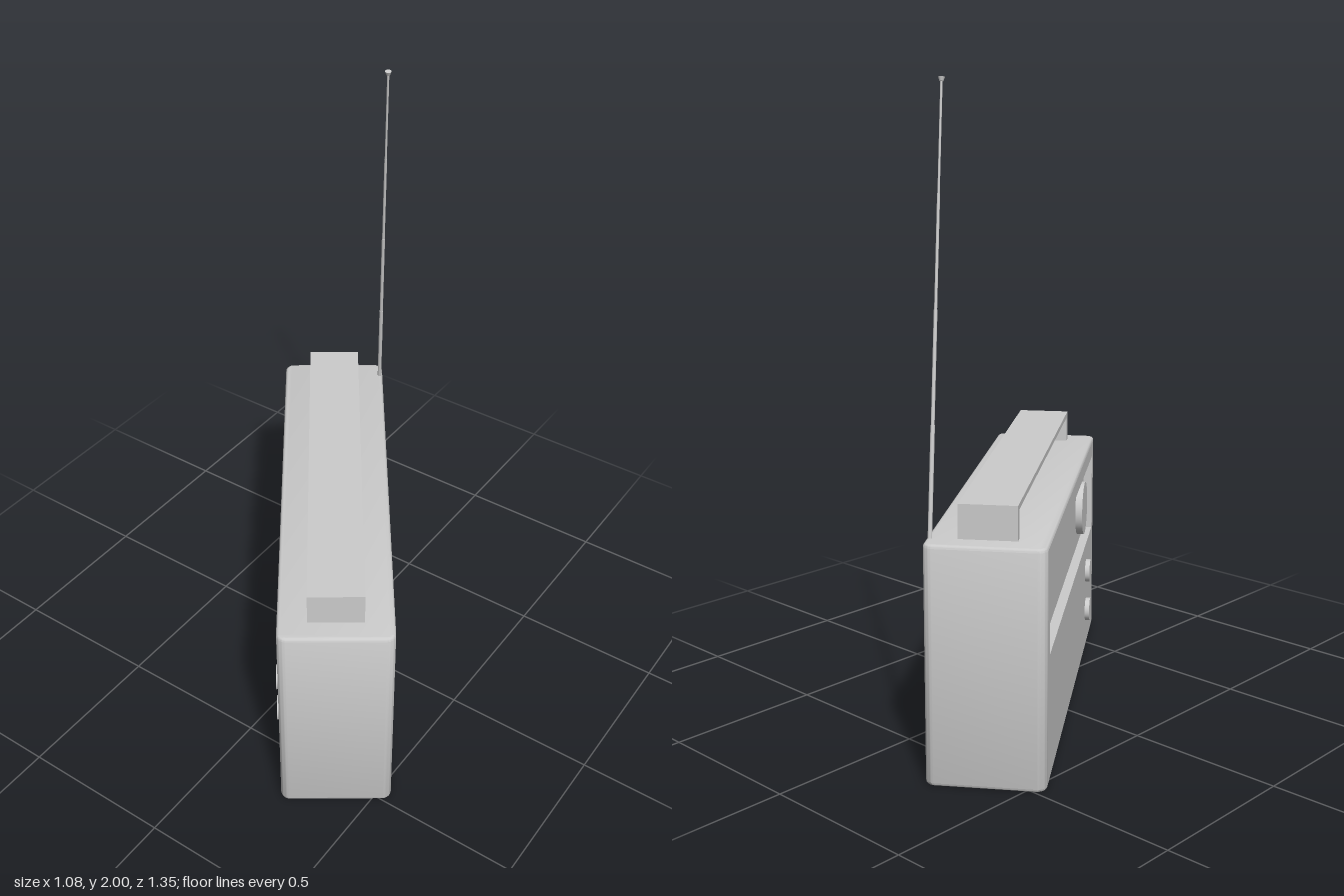
import * as THREE from 'three';
import { toCreasedNormals } from 'three/addons/utils/BufferGeometryUtils.js';

const material = new THREE.MeshStandardMaterial({ color: 0xcccccc });
const HALF_W = 0.712, HALF_D = 0.177, HEIGHT = 0.722, CORNER = 0.03, BEVEL = 0.01;
const RECESS = { x: 0.64, bottom: 0.39, top: 0.66, depth: 0.03 };

function part(name, geometry, x = 0, y = 0, z = 0) {
  const mesh = new THREE.Mesh(geometry, material);
  mesh.name = name;
  mesh.position.set(x, y, z);
  return mesh;
}

function polygon(points) {
  return new THREE.Shape(points.map(([x, y]) => new THREE.Vector2(x, y)));
}

function rectangle(x0, y0, x1, y1) {
  return polygon([[x0, y0], [x1, y0], [x1, y1], [x0, y1]]);
}

// Rounded plan extruded upwards, with the flat front wall left out
function caseGeometry() {
  const a = HALF_W - CORNER, b = HALF_D - CORNER;
  const plan = new THREE.Shape();
  [[a, b], [-a, b], [-a, -b], [a, -b]].forEach(([x, y], i) => {
    plan.absarc(x, y, CORNER, i * Math.PI / 2, (i + 1) * Math.PI / 2, false);
  });
  const extruded = new THREE.ExtrudeGeometry(plan, {
    depth: HEIGHT - 2 * BEVEL, curveSegments: 8, bevelEnabled: true,
    bevelThickness: BEVEL, bevelSize: BEVEL, bevelOffset: -BEVEL, bevelSegments: 3,
  });
  extruded.rotateX(-Math.PI / 2).translate(0, BEVEL, 0);
  const smooth = toCreasedNormals(extruded, 0.6);
  const p = smooth.attributes.position, n = smooth.attributes.normal;
  const positions = [], normals = [];
  for (let i = 0; i < p.count; i += 3) {
    if ([0, 1, 2].every((k) => p.getZ(i + k) > HALF_D - 1e-4)) continue;
    for (let k = i; k < i + 3; k++) {
      positions.push(p.getX(k), p.getY(k), p.getZ(k));
      normals.push(n.getX(k), n.getY(k), n.getZ(k));
    }
  }
  const geometry = new THREE.BufferGeometry();
  geometry.setAttribute('position', new THREE.Float32BufferAttribute(positions, 3));
  geometry.setAttribute('normal', new THREE.Float32BufferAttribute(normals, 3));
  return geometry;
}

// Front wall with the dial window cut through it
function frontGeometry() {
  const a = HALF_W - CORNER;
  const wall = rectangle(-a, BEVEL, a, HEIGHT - BEVEL);
  wall.holes.push(rectangle(-RECESS.x, RECESS.bottom, RECESS.x, RECESS.top));
  return new THREE.ExtrudeGeometry(wall, { depth: RECESS.depth, bevelEnabled: false })
    .translate(0, 0, HALF_D - RECESS.depth);
}

function knob(name, radius, height, x, y, z) {
  const geometry = new THREE.CylinderGeometry(radius, radius, height, 40);
  geometry.rotateX(Math.PI / 2).translate(0, 0, height / 2);
  return part(name, geometry, x, y, z);
}

// Flat carrying handle: a strap with two legs
function handleGeometry() {
  const w = 0.64, t = 0.027, base = HEIGHT - 0.005, top = 0.825, under = 0.808, depth = 0.172;
  const outline = polygon([
    [-w, base], [-w + t, base], [-w + t, under], [w - t, under],
    [w - t, base], [w, base], [w, top], [-w, top],
  ]);
  return new THREE.ExtrudeGeometry(outline, { depth, bevelEnabled: false })
    .translate(0, 0, -depth / 2);
}

// Telescopic aerial, each section thinner than the one below
function aerial() {
  const group = new THREE.Group();
  group.name = 'aerial';
  const base = new THREE.Vector3(-0.642, 0.715, -0.166);
  const tip = new THREE.Vector3(-0.412, 1.999, -0.163);
  const axis = tip.clone().sub(base);
  const length = axis.length();
  group.position.copy(base);
  group.quaternion.setFromUnitVectors(new THREE.Vector3(0, 1, 0), axis.normalize());
  const radii = [0.0065, 0.0055, 0.0045, 0.0035];
  const step = length / radii.length;
  radii.forEach((r, i) => {
    group.add(part('aerialSection', new THREE.CylinderGeometry(r, r, step, 16), 0, (i + 0.5) * step, 0));
  });
  group.add(part('aerialTip', new THREE.CylinderGeometry(0.01, 0.006, 0.012, 16), 0, length - 0.006, 0));
  return group;
}

export function createModel() {
  const radio = new THREE.Group();
  radio.name = 'radio';
  const floorZ = HALF_D - RECESS.depth;

  radio.add(part('case', caseGeometry()));
  radio.add(part('frontPanel', frontGeometry()));
  radio.add(part('dialPanel',
    new THREE.PlaneGeometry(2 * RECESS.x, RECESS.top - RECESS.bottom),
    0, (RECESS.top + RECESS.bottom) / 2, floorZ));

  radio.add(knob('tuningKnob', 0.093, 0.024, 0.44, 0.52, floorZ));
  for (const y of [0.287, 0.143]) radio.add(knob('smallKnob', 0.04, 0.016, 0.446, y, HALF_D));

  radio.add(part('handle', handleGeometry()));
  radio.add(aerial());

  // The whole radio stands turned to its right
  radio.rotation.y = THREE.MathUtils.degToRad(-55);
  const model = new THREE.Group();
  model.name = 'portableRadio';
  model.add(radio);
  return model;
}
